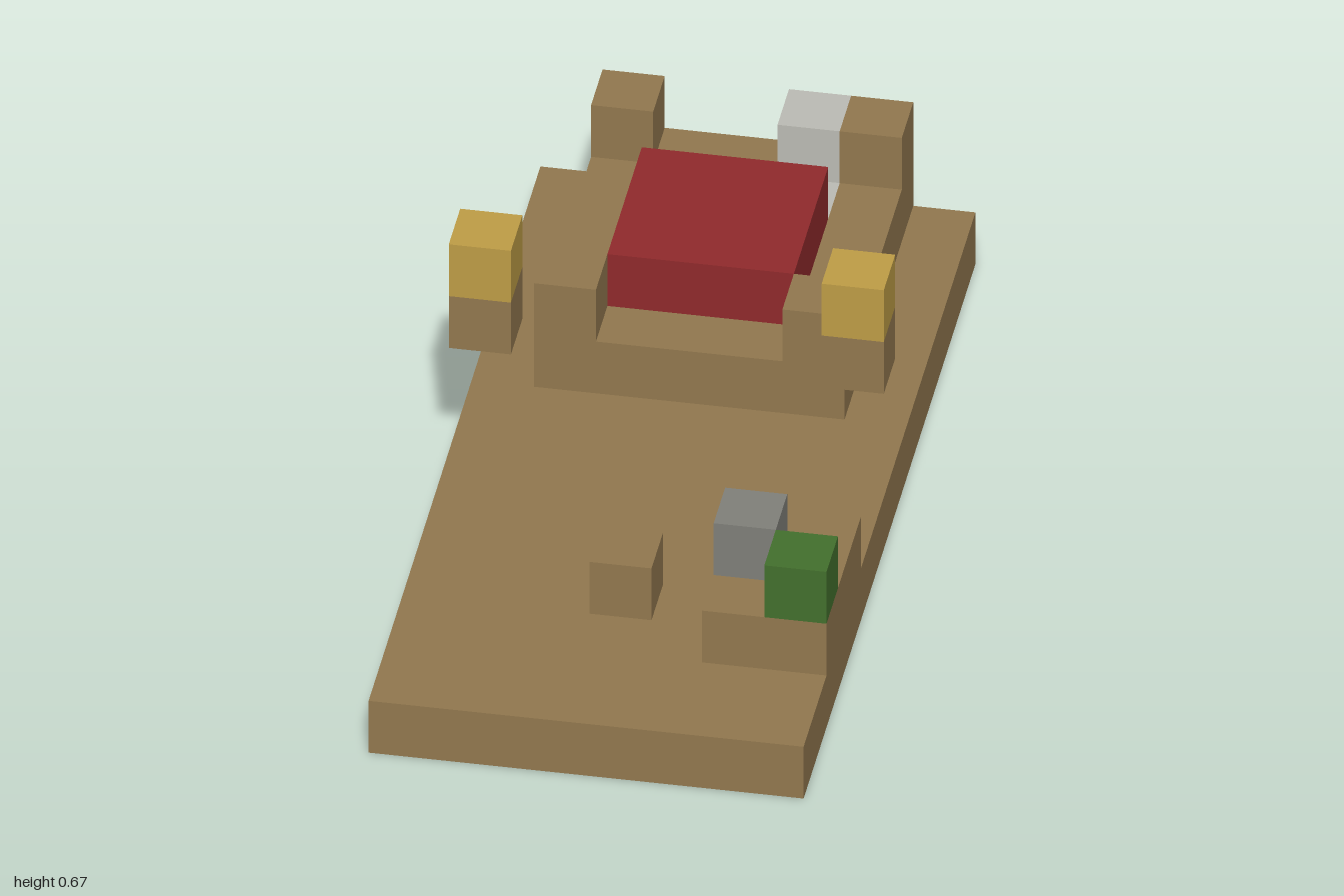
import * as THREE from 'three';

// Everything sits on a 7 x 15 grid of equal cubes
const U = 2 / 15;

export function createModel() {
  const model = new THREE.Group();
  model.name = 'blockBedroom';

  const mat = (name, color) => {
    const m = new THREE.MeshStandardMaterial({ color });
    m.name = name;
    return m;
  };
  const wood = mat('wood', 0x92784f);
  const red = mat('redBlanket', 0x902a2c);
  const white = mat('whiteLinen', 0xbcbcb5);
  const yellow = mat('torchFlame', 0xbf9d46);
  const grey = mat('greyStone', 0x80807a);
  const green = mat('greenLeaf', 0x43702d);

  // Box given by its first grid cell and its size in cells
  const block = (parent, name, material, [x, y, z], [w, h, d]) => {
    const mesh = new THREE.Mesh(new THREE.BoxGeometry(w * U, h * U, d * U), material);
    mesh.position.set((x + w / 2 - 3.5) * U, (y + h / 2) * U, (z + d / 2 - 7.5) * U);
    mesh.name = name;
    parent.add(mesh);
  };
  const group = (name) => {
    const g = new THREE.Group();
    g.name = name;
    model.add(g);
    return g;
  };

  block(model, 'floor', wood, [0, 0, 0], [7, 1, 15]);

  // Bed: frame around a sunken pillow, corner posts, blanket
  const bed = group('bed');
  block(bed, 'headboard', wood, [1, 1, 0], [5, 1, 1]);
  block(bed, 'bedBase', wood, [1, 1, 2], [5, 1, 4]);
  for (const x of [1, 5]) {
    block(bed, 'sideRail', wood, [x, 1, 1], [1, 1, 1]);
    for (const z of [0, 5]) block(bed, 'bedPost', wood, [x, 2, z], [1, 1, 1]);
  }
  block(bed, 'pillow', white, [2, 1, 1], [3, 1, 1]);
  block(bed, 'blanket', red, [2, 2, 2], [3, 1, 3]);
  block(bed, 'headboardLamp', white, [4, 2, 0], [1, 1, 1]);

  // Desk with two items, and a stool
  const desk = group('desk');
  block(desk, 'deskTop', wood, [5, 1, 10], [2, 1, 3]);
  block(desk, 'stoneItem', grey, [5, 2, 11], [1, 1, 1]);
  block(desk, 'plant', green, [6, 2, 12], [1, 1, 1]);
  block(model, 'stool', wood, [3, 1, 11], [1, 1, 1]);

  // Floating wall torches on both sides
  for (const x of [0, 6]) {
    const torch = group(x ? 'leftTorch' : 'rightTorch');
    block(torch, 'torchHandle', wood, [x, 3, 7], [1, 1, 1]);
    block(torch, 'torchFlame', yellow, [x, 4, 7], [1, 1, 1]);
  }

  return model;
}
